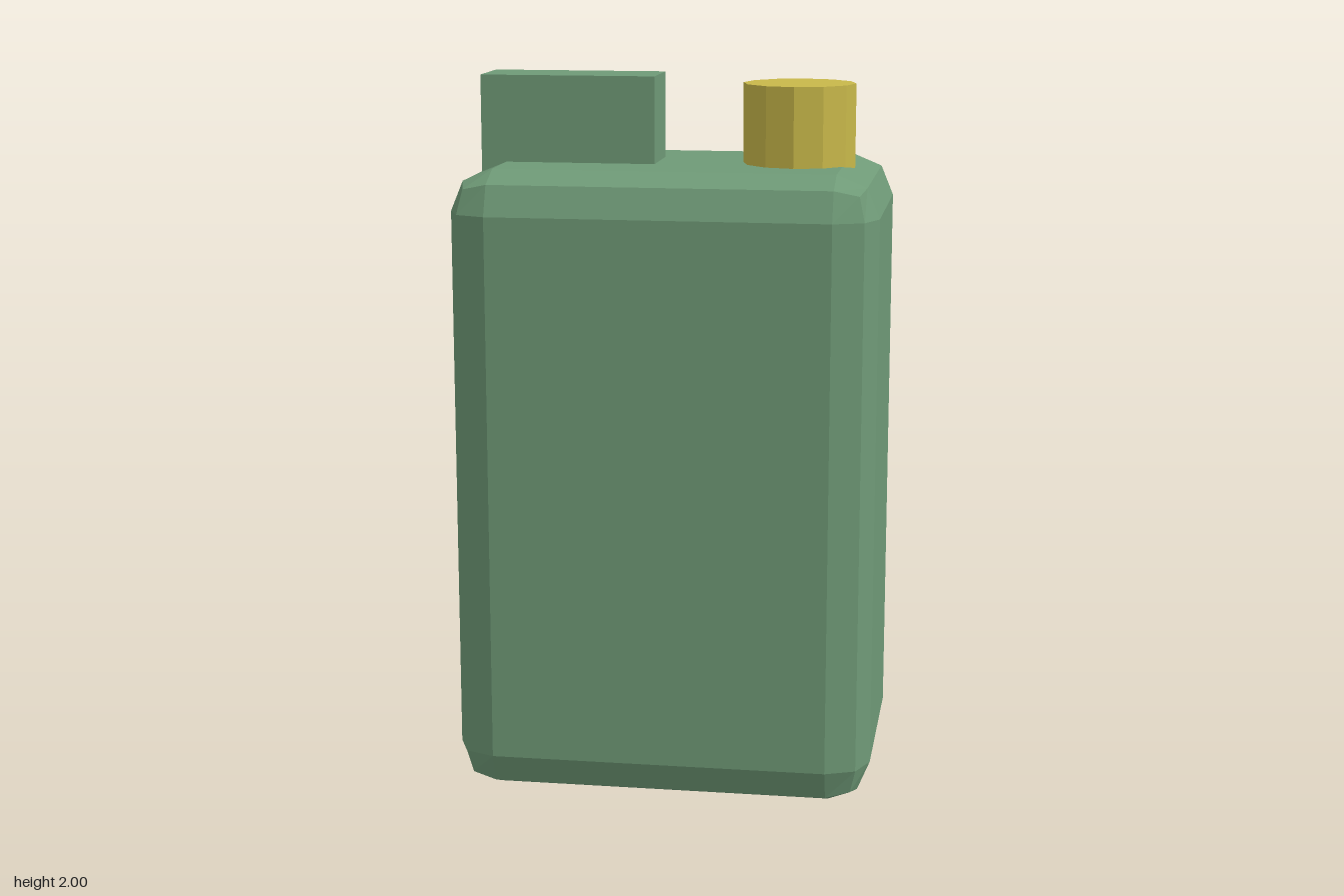
import * as THREE from 'three';
import { RoundedBoxGeometry } from 'three/addons/geometries/RoundedBoxGeometry.js';

const paint = (color) => new THREE.MeshStandardMaterial({ color, flatShading: true });

export function createModel() {
  const group = new THREE.Group();
  const green = paint(0x6f9a77);
  const yellow = paint(0xc8b84a);
  const ochre = paint(0x9a7434);

  const add = (name, geometry, material, x, y, z) => {
    const mesh = new THREE.Mesh(geometry, material);
    mesh.name = name;
    mesh.position.set(x, y, z);
    group.add(mesh);
    return mesh;
  };

  // Can body with two-facet bevels on every edge
  add('body', new RoundedBoxGeometry(1.17, 1.76, 0.78, 1, 0.117), green, 0, 0.88, 0.008);

  // Block handle, sunk slightly into the top
  add('handle', new THREE.BoxGeometry(0.488, 0.29, 0.195), green, -0.294, 1.855, 0.008);

  // Twelve-sided screw cap
  add('cap', new THREE.CylinderGeometry(0.156, 0.156, 0.24, 12), yellow, 0.34, 1.86, 0.008);

  // Diamond plate on the back
  const plate = add('backPlate', new THREE.BoxGeometry(0.484, 0.484, 0.04), ochre, 0, 0.88, -0.38);
  plate.rotation.z = Math.PI / 4;

  return group;
}
